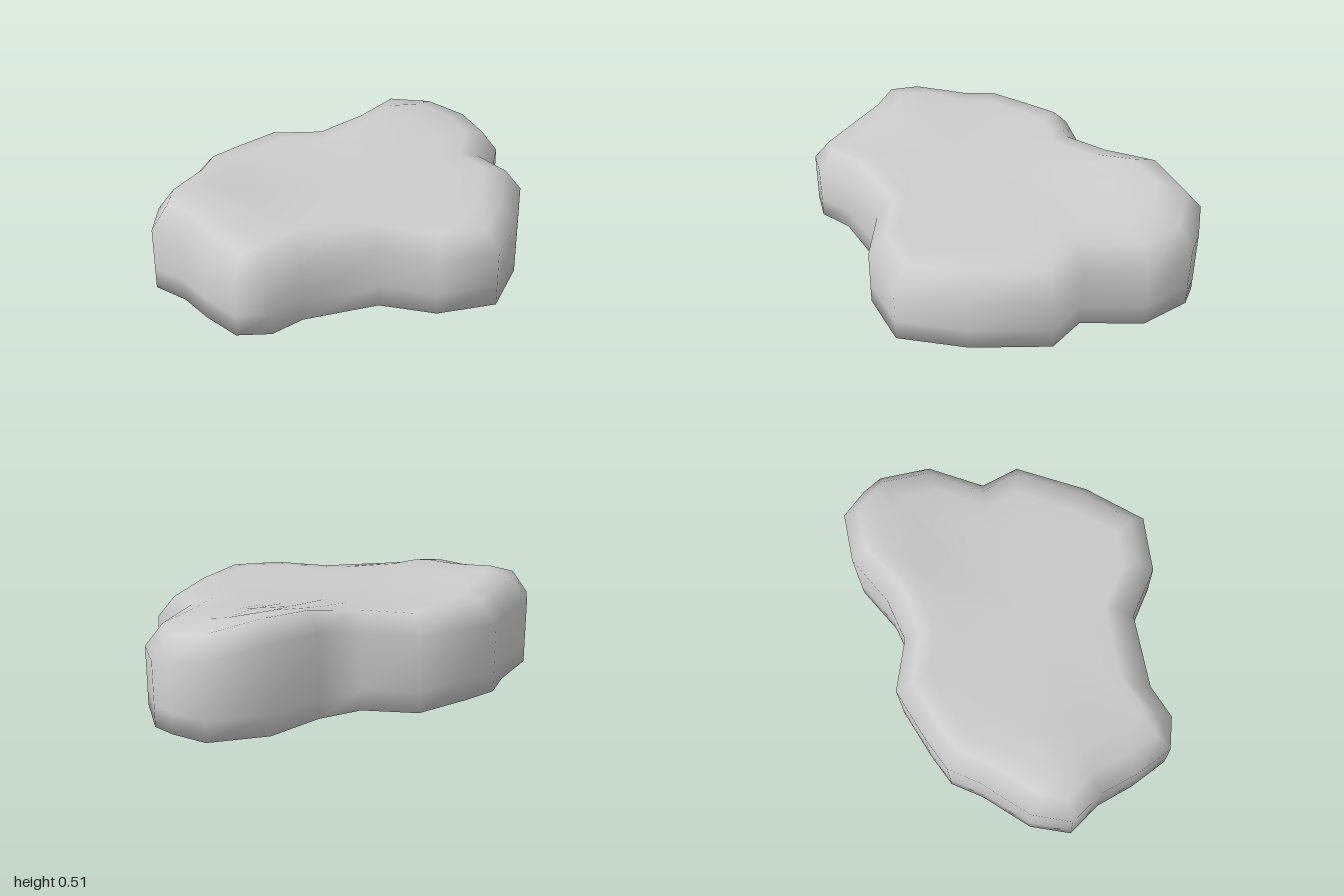
import * as THREE from 'three';

// Ground outline of the rock as [x, z], clockwise seen from above
const OUTLINE = [
  [-1, -0.1], [-0.91, -0.28], [-0.7, -0.46], [-0.59, -0.59], [-0.42, -0.65], [-0.16, -0.72],
  [0.08, -0.61], [0.29, -0.64], [0.54, -0.75], [0.82, -0.73], [0.94, -0.6], [1, -0.5],
  [0.99, -0.24], [0.81, 0], [0.86, 0.2], [0.64, 0.51], [0.39, 0.74], [0.1, 0.69],
  [-0.11, 0.51], [-0.48, 0.47], [-0.65, 0.52], [-0.8, 0.46], [-0.87, 0.26], [-0.91, 0.07],
];
const CENTRE = [0, -0.03];

// Height of the top: a gentle slope with two soft swells
const swell = (x, z, cx, cz, r, h) => h * Math.exp(-((x - cx) ** 2 + (z - cz) ** 2) / (r * r));
const topHeight = (x, z) =>
  0.41 - 0.06 * z + swell(x, z, 0.5, -0.68, 0.35, 0.075) + swell(x, z, -0.82, -0.1, 0.28, 0.05);

// Outline moved inwards along its normals
function inset(d) {
  const n = OUTLINE.length;
  return OUTLINE.map(([x, z], i) => {
    const [ax, az] = OUTLINE[(i + n - 1) % n];
    const [bx, bz] = OUTLINE[(i + 1) % n];
    const len = Math.hypot(bx - ax, bz - az);
    return [x - (d * (bz - az)) / len, z + (d * (bx - ax)) / len];
  });
}

const shrink = (ring, s) =>
  ring.map(([x, z]) => [CENTRE[0] + (x - CENTRE[0]) * s, CENTRE[1] + (z - CENTRE[1]) * s]);

// Cross-sections from the middle of the base, up the wall and over the top
function rockGeometry() {
  const rim = inset(0.085);
  const flat = (ring, y) => ring.map(([x, z]) => [x, y, z]);
  const draped = (ring, drop) => ring.map(([x, z]) => [x, topHeight(x, z) - drop(x), z]);
  const rings = [
    flat(shrink(OUTLINE, 0.85), 0),
    flat(OUTLINE, 0),
    flat(OUTLINE, 0.1),
    draped(OUTLINE, (x) => 0.09 + 0.05 * x * x),
    draped(rim, (x) => 0.04 * x * x),
    ...[0.86, 0.66, 0.44, 0.22].map((s) => draped(shrink(rim, s), () => 0)),
  ];
  const n = OUTLINE.length;
  const positions = rings.flat(2);
  const index = [];
  for (let r = 0; r < rings.length - 1; r++) {
    for (let i = 0; i < n; i++) {
      const a = r * n + i, b = r * n + ((i + 1) % n);
      index.push(a, a + n, b, b, a + n, b + n);
    }
  }
  // Close the base and the top with fans
  const base = positions.length / 3, top = base + 1, last = (rings.length - 1) * n;
  positions.push(CENTRE[0], 0, CENTRE[1], CENTRE[0], topHeight(...CENTRE), CENTRE[1]);
  for (let i = 0; i < n; i++) {
    const j = (i + 1) % n;
    index.push(base, i, j, last + i, top, last + j);
  }
  const geometry = new THREE.BufferGeometry();
  geometry.setAttribute('position', new THREE.Float32BufferAttribute(positions, 3));
  geometry.setIndex(index);
  geometry.computeVertexNormals();
  return geometry;
}

export function createModel() {
  const group = new THREE.Group();
  group.name = 'flatRock';
  const rock = new THREE.Mesh(rockGeometry(), new THREE.MeshStandardMaterial({ color: 0xcccccc }));
  rock.name = 'rock';
  group.add(rock);
  return group;
}
